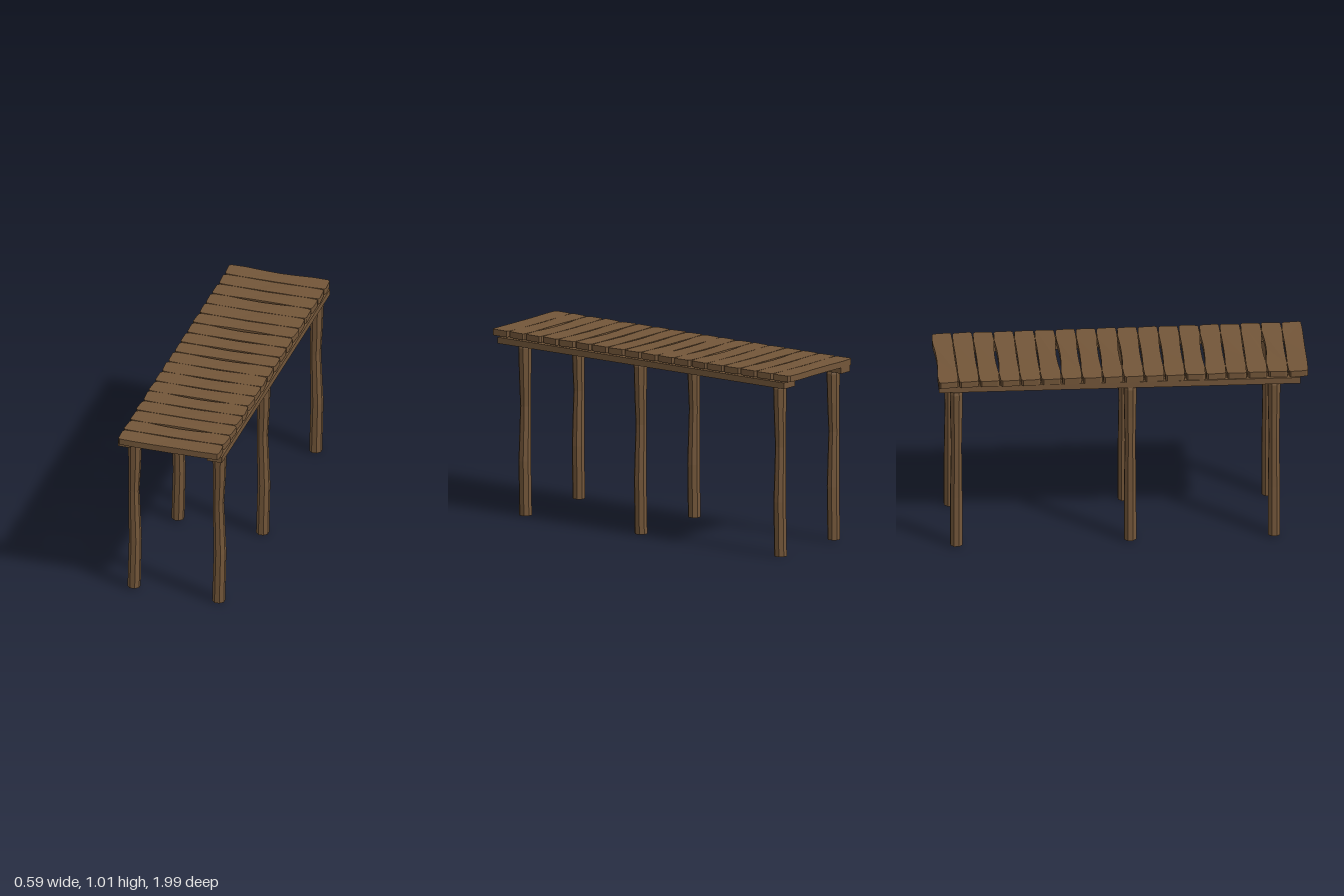
import * as THREE from 'three';

const wood = new THREE.MeshStandardMaterial({ color: 0x735639 });
wood.name = 'brown wood';

// Split faces so every facet keeps a hard edge
function flatMesh(name, geometry) {
  const g = geometry.index ? geometry.toNonIndexed() : geometry;
  g.computeVertexNormals();
  const mesh = new THREE.Mesh(g, wood);
  mesh.name = name;
  return mesh;
}

// Small seeded wobble in -1..1
let seed = 11;
function wobble() {
  seed = (seed * 16807) % 2147483647;
  return (seed / 2147483647) * 2 - 1;
}

// Hand-cut octagonal post; rings are [y, x offset, half width]
function makePost(x, z, rings) {
  const g = new THREE.CylinderGeometry(1, 1, rings.length - 1, 8, rings.length - 1, false, Math.PI / 8);
  const p = g.attributes.position;
  const top = (rings.length - 1) / 2;
  for (let i = 0; i < p.count; i++) {
    const [y, dx, half] = rings[Math.round(p.getY(i) + top)];
    const r = half / Math.cos(Math.PI / 8);
    p.setXYZ(i, x + dx + p.getX(i) * r, y, z + p.getZ(i) * Math.min(r, 0.0365));
  }
  return flatMesh('post', g);
}

// Long beam whose two ends have their own x range
function makeBeam(front, back, zFront, zBack, y0, y1) {
  const g = new THREE.BoxGeometry(1, 1, 1);
  const p = g.attributes.position;
  for (let i = 0; i < p.count; i++) {
    const atFront = p.getZ(i) > 0;
    const range = atFront ? front : back;
    p.setXYZ(i, range[p.getX(i) > 0 ? 1 : 0], p.getY(i) > 0 ? y1 : y0, atFront ? zFront : zBack);
  }
  return flatMesh('beam', g);
}

// Plank with clipped corners and a waist worn into its long edges
function makePlank(z, backWaist, frontWaist) {
  const h = 0.0545, e = 0.283, x = 0.19;
  const end = h - 0.003;
  const back = [[-e, end - 0.010], [-e + 0.012, end], [-x, h], [-0.08, h - backWaist * 0.8],
    [0, h - backWaist], [0.08, h - backWaist * 0.8], [x, h], [e - 0.012, end], [e, end - 0.010]];
  const front = [[e, -end + 0.012], [e - 0.008, -end], [x, -h], [0.08, -h + frontWaist * 0.8],
    [0, -h + frontWaist], [-0.08, -h + frontWaist * 0.8], [-x, -h], [-e + 0.008, -end], [-e, -end + 0.012]];
  const skew = wobble() * 0.004;
  const points = [...back, ...front].map(([px, py]) => new THREE.Vector2(px + skew * py / h, py));
  const g = new THREE.ExtrudeGeometry(new THREE.Shape(points), { depth: 0.034, bevelEnabled: false });
  g.rotateX(-Math.PI / 2);
  const p = g.attributes.position;
  for (let i = 0; i < p.count; i++) {
    p.setY(i, p.getY(i) - 0.003 * Math.max(0, 1 - Math.abs(p.getX(i)) / 0.28));
  }
  const plank = flatMesh('plank', g);
  plank.position.set(wobble() * 0.002, 0.972, z);
  plank.rotation.x = wobble() * 0.015;
  return plank;
}

export function createModel() {
  const model = new THREE.Group();
  model.name = 'wooden walkway';

  // Three pairs of posts
  const leftRings = [[0, -0.002, 0.0325], [0.3, 0.005, 0.032], [0.6, -0.003, 0.028],
    [0.75, 0.002, 0.031], [0.92, 0.003, 0.0365], [0.936, 0.003, 0.032]];
  const rightRings = leftRings.map(([y, dx, half]) => [y === 0 ? 0.008 : y, dx, half]);
  const posts = new THREE.Group();
  posts.name = 'posts';
  for (const z of [0.81, 0.037, -0.897]) {
    posts.add(makePost(0.231, z, leftRings), makePost(-0.2455, z, rightRings));
  }
  model.add(posts);

  // Two slightly skewed beams under the deck
  const beams = new THREE.Group();
  beams.name = 'beams';
  beams.add(
    makeBeam([-0.294, -0.222], [-0.268, -0.19], 0.95, -0.99, 0.937, 0.972),
    makeBeam([0.208, 0.291], [0.188, 0.288], 0.95, -0.965, 0.933, 0.967),
  );
  model.add(beams);

  // Deck of planks; each waist value is shared by the seam between two planks
  const waists = [0.010, 0.002, 0.003, 0.008, 0.002, 0.003, 0.010, 0.005, 0.006,
    0.007, 0.004, 0.005, 0.004, 0.008, 0.004, 0.002, 0.010, 0.003, 0.001];
  const deck = new THREE.Group();
  deck.name = 'deck';
  for (let i = 0; i < 18; i++) {
    deck.add(makePlank(-0.94 + i * 0.1106, waists[i], waists[i + 1]));
  }
  model.add(deck);
  return model;
}
